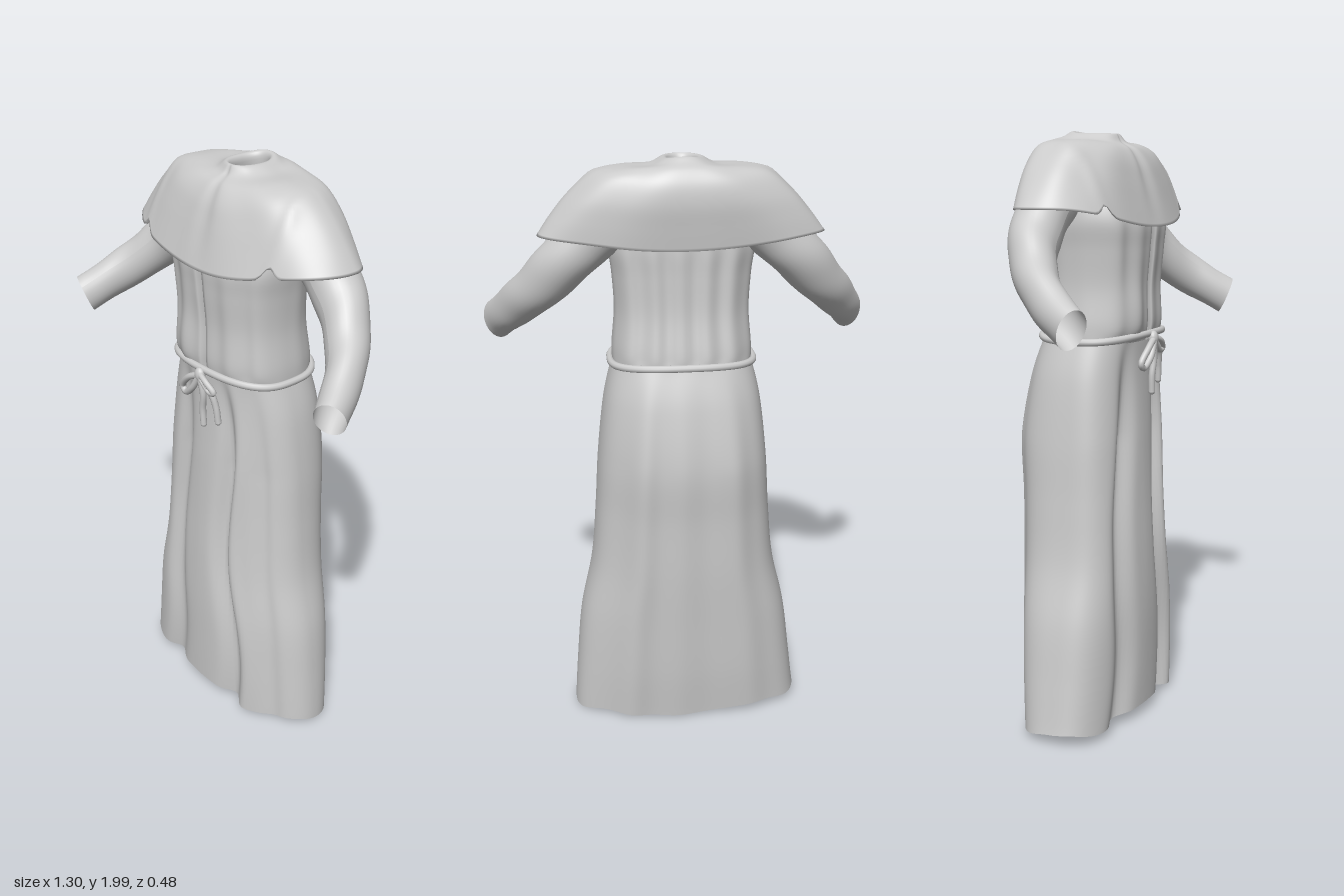
import * as THREE from 'three';

const cloth = new THREE.MeshStandardMaterial({ color: 0xcccccc, roughness: 0.9, side: THREE.DoubleSide });
const V = (x, y, z) => new THREE.Vector3(x, y, z);
const lerp = THREE.MathUtils.lerp;
const bump = (x, at, width) => Math.exp(-(((x - at) / width) ** 2));
const power = (v, p) => Math.sign(v) * Math.abs(v) ** p;

// Smoothly interpolates every column of a small table of cross-sections
function profile(rows) {
  const curves = rows[0].map((_, c) => new THREE.SplineCurve(rows.map(r => new THREE.Vector2(r[c], 0))));
  return t => curves.map(c => c.getPoint(t).x);
}

// Closed rings from bottom to top; angle 0 is the front, a quarter turn is +x
function loft(rows, cols, point) {
  const pos = [], index = [];
  for (let i = 0; i <= rows; i++)
    for (let j = 0; j < cols; j++) pos.push(...point(i / rows, (j / cols) * Math.PI * 2).toArray());
  for (let i = 0; i < rows; i++)
    for (let j = 0; j < cols; j++) {
      const a = i * cols + j, b = i * cols + ((j + 1) % cols);
      index.push(a, b, b + cols, a, b + cols, a + cols);
    }
  const g = new THREE.BufferGeometry();
  g.setAttribute('position', new THREE.Float32BufferAttribute(pos, 3));
  g.setIndex(index);
  g.computeVertexNormals();
  return g;
}

function mesh(name, geometry) {
  const m = new THREE.Mesh(geometry, cloth);
  m.name = name;
  return m;
}

// Skirt: flared tube, boxier on its right side, with long vertical folds
function skirt() {
  // y, half width, front z, back z
  const at = profile([
    [0.035, 0.405, 0.18, -0.168], [0.2, 0.388, 0.183, -0.188], [0.4, 0.364, 0.185, -0.203],
    [0.6, 0.32, 0.18, -0.217], [0.8, 0.3, 0.17, -0.225], [1.0, 0.286, 0.162, -0.236],
    [1.2, 0.262, 0.156, -0.208], [1.33, 0.23, 0.16, -0.17],
  ]);
  return loft(56, 160, (t, a) => {
    const [y, hw, zf, zb] = at(t);
    const s = Math.sin(a), c = Math.cos(a), grow = Math.min(1, (1 - t) * 3.5);
    const right = s < 0;
    const u = power(s, lerp(0.85, right ? 0.78 : 0.93, grow));
    const box = c > 0 ? (right ? 0.62 : 0.92) : (right ? 0.72 : 0.85);
    const sway = 0.05 * Math.sin(y * 7);
    let d = 0;
    if (c > 0) {
      d = -0.036 * bump(u, -0.5 + sway, 0.12) - 0.034 * bump(u, 0.3 + sway, 0.1)
        + 0.014 * bump(u, 0.46 + sway, 0.1) + 0.006 * bump(u, -0.05, 0.2) - 0.015 * bump(u, 0.75, 0.09);
    } else {
      d = 0.014 * bump(u, -0.6, 0.13) + 0.012 * bump(u, 0.5, 0.14) + 0.004 * Math.sin(u * 13 + 1);
    }
    const width = hw * (right ? 1 + 0.03 * (1 - t) ** 3 : 1 - 0.03 * (1 - t) ** 3);
    const z = power(c, lerp(0.75, box, grow)) * (c > 0 ? zf : -zb)
      + Math.sign(c) * d * grow * Math.min(1, Math.abs(c) * 3);
    const hem = -0.013 * s + 0.008 * c + 0.009 * Math.sin(a * 5 + 2) - 0.005;
    return V(u * width, y + hem * (1 - t) ** 6, z);
  });
}

// Bodice: waist to chest, with a front closure and gathered cloth
function bodice() {
  const at = profile([
    [1.32, 0.23, 0.162, -0.17], [1.38, 0.23, 0.172, -0.165], [1.5, 0.22, 0.17, -0.145],
    [1.62, 0.226, 0.18, -0.14], [1.72, 0.236, 0.182, -0.14], [1.81, 0.21, 0.13, -0.13], [1.9, 0.11, 0.08, -0.1],
  ]);
  return loft(36, 160, (t, a) => {
    const [y, hw, zf, zb] = at(t);
    const s = Math.sin(a), c = Math.cos(a), u = power(s, 0.85);
    const low = bump(y, 1.42, 0.12), fade = Math.min(1, t * 8) * Math.min(1, (1 - t) * 2.5);
    const d = c > 0
      ? -0.022 * bump(u, 0, 0.035) + 0.016 * low * bump(u, -0.5, 0.25) + 0.009 * Math.sin(u * 15 + 0.6) * Math.abs(u)
      : 0.006 * Math.sin(u * 17 + 0.5);
    const z = power(c, 0.75) * (c > 0 ? zf : -zb) + Math.sign(c) * d * fade * Math.min(1, Math.abs(c) * 3);
    return V(u * hw, y, z);
  });
}

// Shoulder cape: hem to collar, turned in and closed inside the neck
function cape() {
  // half width, side y, front z, front y, back z, back y
  const at = profile([
    [0.458, 1.75, 0.203, 1.69, -0.174, 1.72], [0.415, 1.81, 0.183, 1.76, -0.182, 1.79],
    [0.355, 1.88, 0.162, 1.83, -0.188, 1.86], [0.28, 1.943, 0.14, 1.89, -0.18, 1.92],
    [0.2, 1.962, 0.11, 1.935, -0.157, 1.962], [0.11, 1.965, 0.072, 1.958, -0.128, 1.982],
    [0.062, 1.986, 0.052, 1.985, -0.106, 1.996], [0.044, 1.972, 0.038, 1.965, -0.092, 1.98],
    [0.043, 1.92, 0.036, 1.91, -0.088, 1.92], [0.001, 1.9, -0.029, 1.9, -0.031, 1.9],
  ]);
  const zc = -0.03, rows = 46;
  return loft(rows, 160, (t, a) => {
    // The lowest ring is a narrow turned-under hem
    const lip = t === 0;
    const k = lip ? 0 : (t * rows - 1) / (rows - 1);
    const [hw, ys, zf, yf, zb, yb] = at(k);
    const s = Math.sin(a), c = Math.cos(a), scale = lip ? 0.965 : 1;
    const fall = (1 - k) ** 3, mid = Math.sin(Math.PI * Math.min(1, k * 1.4));
    const x = power(s, 0.94) * hw;
    let z = zc + power(c, 0.9) * (c > 0 ? zf - zc : zc - zb);
    let y = lerp(ys, c > 0 ? yf : yb, Math.abs(c) ** (2 + 2 * fall));
    if (c > 0) {
      const pinch = bump(Math.abs(x), 0.285, 0.022) * fall * Math.min(1, c * 2);
      y += 0.035 * pinch;
      z -= 0.01 * pinch + 0.01 * mid * bump(s, 0, 0.08);
    }
    const ripple = 1 + 0.012 * Math.sin(a * 9 + 0.7) * mid + 0.015 * Math.sin(a * 7) * fall * c * c;
    return V(x * ripple * scale, y, zc + (z - zc) * ripple * scale);
  });
}

// Sleeve: tapered open tube bending forward, flattened sideways at the cuff
function sleeve() {
  const path = new THREE.CatmullRomCurve3([
    V(0.19, 1.82, -0.045), V(0.3, 1.745, -0.05), V(0.4, 1.645, -0.035),
    V(0.475, 1.565, 0.012), V(0.545, 1.493, 0.09), V(0.606, 1.418, 0.205),
  ]);
  const radius = profile([[0.088], [0.09], [0.086], [0.076], [0.067], [0.062]]);
  const rings = 40, around = 32;
  const g = new THREE.TubeGeometry(path, rings, 1, around);
  const p = g.attributes.position, n = g.attributes.normal;
  for (let i = 0; i < p.count; i++) {
    const t = Math.floor(i / (around + 1)) / rings, turn = ((i % (around + 1)) / around) * Math.PI * 2;
    const r = radius(t)[0] * (1 + 0.02 * Math.sin(t * 24 + 2 * turn));
    const flat = 1 - 0.18 * t, tall = 1 + 0.12 * t;
    const q = path.getPointAt(t).add(V(n.getX(i) * flat, n.getY(i) * tall, n.getZ(i) * flat).multiplyScalar(r));
    p.setXYZ(i, q.x, q.y, q.z);
  }
  g.computeVertexNormals();
  return g;
}

// Cord through a few points
function cord(name, points, radius, closed = false) {
  const curve = new THREE.CatmullRomCurve3(points, closed);
  const group = new THREE.Group();
  group.name = name;
  group.add(mesh(name + 'Strand', new THREE.TubeGeometry(curve, closed ? 120 : 32, radius, 10, closed)));
  if (!closed) {
    for (const end of [points[0], points[points.length - 1]]) {
      const tip = mesh(name + 'End', new THREE.SphereGeometry(radius, 10, 8));
      tip.position.copy(end);
      group.add(tip);
    }
  }
  return group;
}

export function createModel() {
  const robe = new THREE.Group();
  robe.name = 'robe';
  robe.add(mesh('skirt', skirt()), mesh('bodice', bodice()), mesh('shoulderCape', cape()));

  // Matching sleeves
  for (const side of [1, -1]) {
    const s = mesh(side > 0 ? 'leftSleeve' : 'rightSleeve', sleeve());
    s.scale.x = side;
    robe.add(s);
  }

  // Rope belt following the waist
  const waist = [];
  for (let i = 0; i < 32; i++) {
    const a = (i / 32) * Math.PI * 2, c = Math.cos(a);
    waist.push(V(power(Math.sin(a), 0.83) * 0.237, 1.335 + 0.006 * Math.cos(2 * a), power(c, 0.73) * 0.173));
  }
  robe.add(cord('belt', waist, 0.012, true));

  // Knot, bow loops and hanging ends
  const knot = mesh('beltKnot', new THREE.SphereGeometry(0.022, 16, 12));
  knot.position.set(0, 1.325, 0.186);
  knot.scale.set(0.9, 1.15, 0.75);
  robe.add(knot);
  robe.add(cord('largeBow', [V(0, 1.325, 0.188), V(-0.05, 1.3, 0.193), V(-0.092, 1.25, 0.185),
    V(-0.075, 1.235, 0.186), V(-0.035, 1.265, 0.192), V(0, 1.32, 0.19)], 0.011));
  robe.add(cord('smallBow', [V(0, 1.33, 0.188), V(0.04, 1.315, 0.195), V(0.07, 1.285, 0.188),
    V(0.05, 1.28, 0.188), V(0, 1.32, 0.19)], 0.01));
  robe.add(cord('longTail', [V(0, 1.32, 0.188), V(0.012, 1.26, 0.184), V(0.004, 1.2, 0.18), V(0.006, 1.145, 0.179)], 0.011));
  robe.add(cord('sideTail', [V(0, 1.32, 0.188), V(0.05, 1.28, 0.184), V(0.066, 1.23, 0.176), V(0.072, 1.175, 0.172)], 0.011));
  return robe;
}
